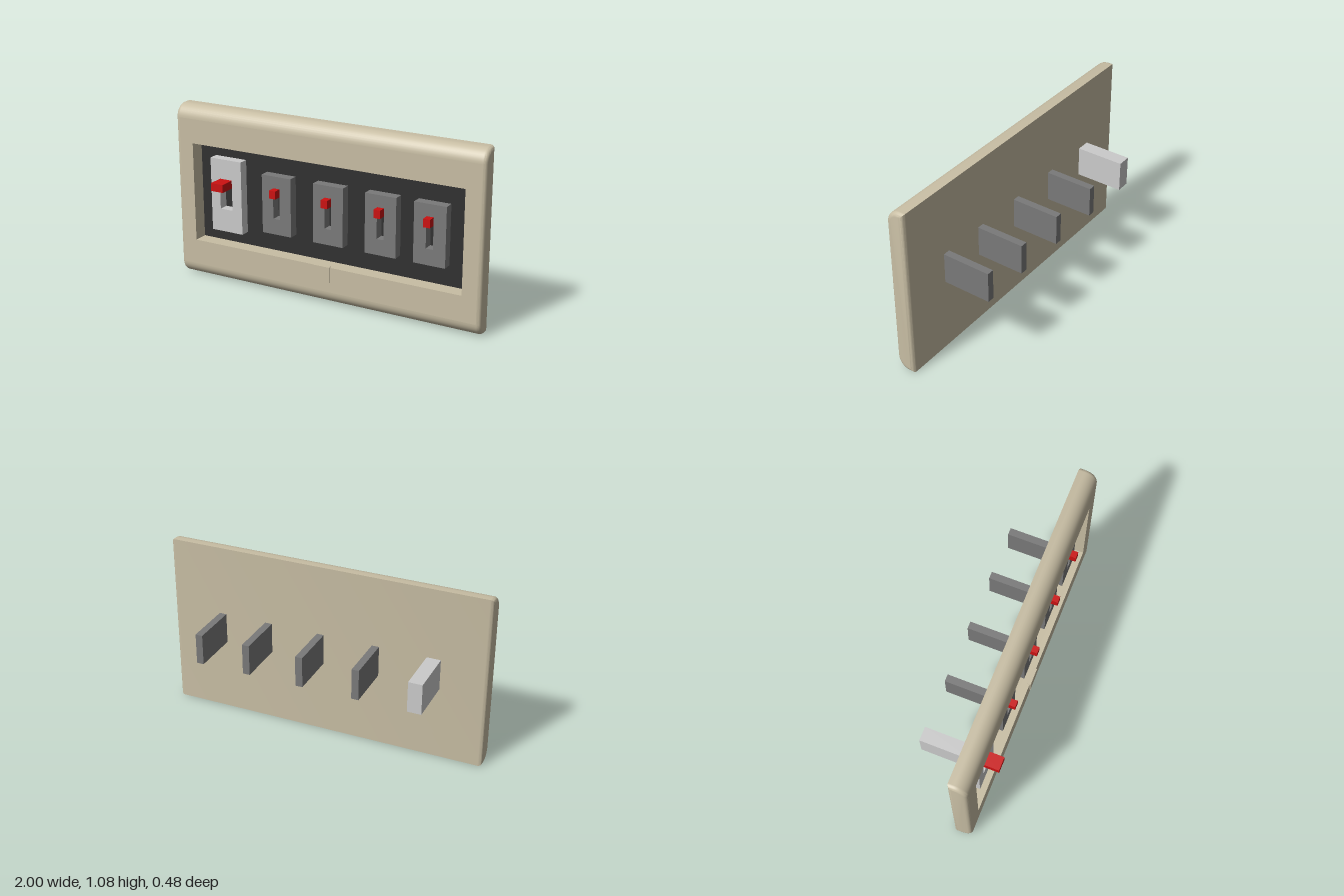
import * as THREE from 'three';
import { toCreasedNormals } from 'three/addons/utils/BufferGeometryUtils.js';

const H = 1.08, BACK = 0.06, FRONT = 0.175, FLOOR = 0.085, R = 0.08, BEVEL = 0.025;
const mat = (color) => new THREE.MeshStandardMaterial({ color });
const beige = mat(0xc8bea4), black = mat(0x303030), dark = mat(0x7a7a7a), light = mat(0xcccccc), red = mat(0xcc1111);

function add(parent, name, geometry, material) {
  const mesh = new THREE.Mesh(geometry, material);
  mesh.name = name;
  parent.add(mesh);
  return mesh;
}

// Box given by its limits on each axis
function box(x0, x1, y0, y1, z0, z1) {
  return new THREE.BoxGeometry(x1 - x0, y1 - y0, z1 - z0)
    .translate((x0 + x1) / 2, (y0 + y1) / 2, (z0 + z1) / 2);
}

// Rectangular slab with a rectangular hole, limits as [x0, x1, y0, y1]
function frame(outer, inner, z0, z1) {
  const corners = ([x0, x1, y0, y1]) => [[x0, y0], [x1, y0], [x1, y1], [x0, y1]].map((p) => new THREE.Vector2(...p));
  const shape = new THREE.Shape(corners(outer));
  shape.holes.push(new THREE.Path(corners(inner)));
  return new THREE.ExtrudeGeometry(shape, { depth: z1 - z0, bevelEnabled: false }).translate(0, 0, z0);
}

// Cross-section of the cover: flat back, rounded front top and bottom
function profile(x, inset) {
  const n = 10, r = R - inset, pts = [new THREE.Vector3(x, inset, BACK + inset)];
  for (let i = 0; i <= n; i++) {
    const a = (i / n) * Math.PI / 2;
    pts.push(new THREE.Vector3(x, R - r * Math.cos(a), FRONT - R + r * Math.sin(a)));
  }
  const upper = pts.map((p) => new THREE.Vector3(x, H - p.y, p.z)).reverse();
  return { pts: [...pts, ...upper], frontEdge: n + 1 };
}

// Cover skin lofted along x, with rounded ends and the front left open
function coverShell() {
  const steps = 5, rings = [];
  for (let i = 0; i <= steps; i++) {
    const a = (i / steps) * Math.PI / 2;
    rings.push(profile(-1 + BEVEL * (1 - Math.sin(a)), BEVEL * (1 - Math.cos(a))));
  }
  // sweep from the end face to the full section
  rings.forEach((_, i) => {
    const a = (i / steps) * Math.PI / 2;
    rings[i] = profile(-1 + BEVEL * (1 - Math.cos(a)), BEVEL * (1 - Math.sin(a)));
  });
  for (let i = steps; i >= 0; i--) {
    const a = (i / steps) * Math.PI / 2;
    rings.push(profile(1 - BEVEL * (1 - Math.cos(a)), BEVEL * (1 - Math.sin(a))));
  }
  const pos = [];
  const tri = (...v) => v.forEach((p) => pos.push(p.x, p.y, p.z));
  const count = rings[0].pts.length;
  for (let i = 0; i < rings.length - 1; i++) {
    for (let j = 0; j < count; j++) {
      if (i === steps && j === rings[0].frontEdge) continue;
      const k = (j + 1) % count;
      const a = rings[i].pts[j], b = rings[i].pts[k], c = rings[i + 1].pts[j], d = rings[i + 1].pts[k];
      tri(a, c, b);
      tri(c, d, b);
    }
  }
  // end faces
  const first = rings[0].pts, last = rings[rings.length - 1].pts;
  for (let j = 1; j < count - 1; j++) {
    tri(first[0], first[j], first[j + 1]);
    tri(last[0], last[j + 1], last[j]);
  }
  const geometry = new THREE.BufferGeometry();
  geometry.setAttribute('position', new THREE.Float32BufferAttribute(pos, 3));
  return toCreasedNormals(geometry, 0.6);
}

// Breaker: slotted face, toggle in the top of the slot, body behind the cover
function breaker(name, face, slot, toggleFront, material) {
  const group = new THREE.Group();
  group.name = name;
  const [x0, x1, y0, y1] = slot;
  add(group, 'breakerFace', frame(face, slot, FLOOR, 0.145), material);
  add(group, 'breakerBody', box(x0, x1, y0, y1, -0.24, 0.07), material);
  add(group, 'toggle', box(x0 + 0.001, x1 - 0.001, 0.597, y1 - 0.001, FLOOR, toggleFront), red);
  return group;
}

export function createModel() {
  const model = new THREE.Group();
  model.name = 'breakerPanel';

  // Cover with its recessed opening
  const cover = new THREE.Group();
  cover.name = 'cover';
  model.add(cover);
  add(cover, 'coverShell', coverShell(), beige);
  add(cover, 'coverFront', frame([-1 + BEVEL, 1 - BEVEL, R, H - R], [-0.885, 0.885, 0.235, 0.85], FLOOR, FRONT), beige);
  add(cover, 'latchTab', box(-0.055, 0.055, 0.14, 0.237, FRONT - 0.02, 0.182), beige);
  add(model, 'backPanel', box(-0.89, 0.89, 0.23, 0.855, 0.072, FLOOR), black);

  // One main breaker and four smaller ones
  model.add(breaker('mainBreaker', [-0.78, -0.565, 0.315, 0.77], [-0.717, -0.632, 0.457, 0.647], 0.24, light));
  [-0.32, 0.027, 0.365, 0.67].forEach((x, i) => {
    model.add(breaker(`branchBreaker${i + 1}`, [x - 0.098, x + 0.098, 0.36, 0.72],
      [x - 0.022, x + 0.022, 0.457, 0.647], 0.19, dark));
  });
  return model;
}
